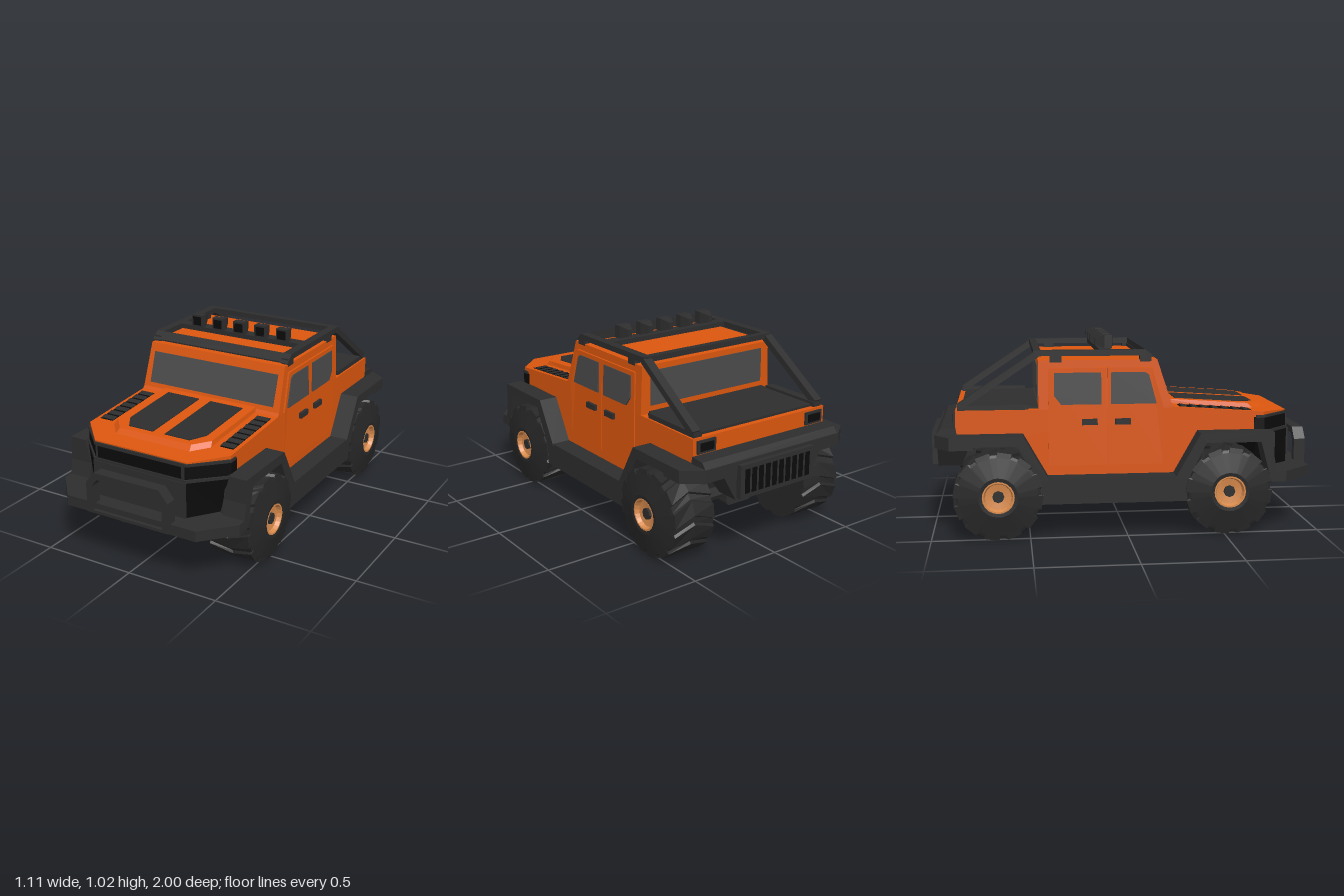
import * as THREE from 'three';

const mat = (color) => new THREE.MeshStandardMaterial({ color, flatShading: true });
const paint = mat(0xdb560e), dark = mat(0x2d2d2d), black = mat(0x0b0b0b);
const glass = mat(0x4a4a4a), copper = mat(0xd88a4c), rubber = mat(0x272727);

export function createModel() {
  const model = new THREE.Group();

  const add = (name, geo, material, parent = model) => {
    const mesh = new THREE.Mesh(geo, material);
    mesh.name = name;
    parent.add(mesh);
    return mesh;
  };
  const shapeOf = (pts) => new THREE.Shape(pts.map(([a, b]) => new THREE.Vector2(a, b)));
  const extrude = (shape, depth) => new THREE.ExtrudeGeometry(shape, { depth, bevelEnabled: false });
  // side outline in [z, y], running from x0 to x1
  const side = (pts, x0, x1) => extrude(shapeOf(pts), x1 - x0).rotateY(-Math.PI / 2).translate(x1, 0, 0);
  // plan outline in [x, z], running from y0 to y1
  const plan = (pts, y0, y1) =>
    extrude(shapeOf(pts.map(([x, z]) => [x, -z])), y1 - y0).rotateX(-Math.PI / 2).translate(0, y0, 0);
  const flip = (s, pts) => pts.map(([x, z]) => [x * s, z]);
  const sym = (half) => [...half, ...flip(-1, half).reverse()];
  const box = (x0, x1, y0, y1, z0, z1) =>
    new THREE.BoxGeometry(Math.abs(x1 - x0), y1 - y0, z1 - z0).translate((x0 + x1) / 2, (y0 + y1) / 2, (z0 + z1) / 2);
  const warp = (geo, rule) => {
    const p = geo.attributes.position, v = new THREE.Vector3();
    for (let i = 0; i < p.count; i++) {
      rule(v.fromBufferAttribute(p, i));
      p.setXYZ(i, v.x, v.y, v.z);
    }
    geo.computeVertexNormals();
    return geo;
  };
  // cab sides lean inwards above the waistline
  const lean = (geo) => warp(geo, (v) => { if (v.y > 0.65) v.x *= 1 - (v.y - 0.65) * 0.1; });
  const sideParts = (name, pts, x0, x1, material) => {
    for (const s of [1, -1])
      add(name, lean(s > 0 ? side(pts, x0, x1) : side(pts, -x1, -x0)), material);
  };
  const bar = (name, a, b, w, h) => {
    const A = new THREE.Vector3(...a), B = new THREE.Vector3(...b);
    const mesh = add(name, new THREE.BoxGeometry(w, h, A.distanceTo(B)), dark);
    mesh.position.copy(A).add(B).multiplyScalar(0.5);
    mesh.lookAt(B);
  };

  // Cab and cargo bed
  add('cabAndBed', lean(side([[0.255, 0.31], [0.385, 0.53], [0.25, 0.65], [0.235, 0.67], [0.16, 0.9], [-0.45, 0.9],
    [-0.45, 0.65], [-0.87, 0.65], [-0.87, 0.51], [-0.54, 0.51], [-0.43, 0.31]], -0.42, 0.42)), paint);
  const slope = (y) => 0.235 - (y - 0.67) * 0.326;
  add('windshield', side([[slope(0.695) - 0.01, 0.695], [slope(0.695) + 0.004, 0.695],
    [slope(0.855) + 0.004, 0.855], [slope(0.855) - 0.01, 0.855]], -0.38, 0.38), glass);
  add('rearWindow', box(-0.36, 0.36, 0.69, 0.87, -0.455, -0.44), glass);
  add('bedCover', box(-0.37, 0.37, 0.64, 0.662, -0.84, -0.45), dark);
  for (const s of [1, -1]) add('bedRail', box(s * 0.36, s * 0.41, 0.65, 0.675, -0.86, -0.5), dark);

  // Doors, side windows, handles
  sideParts('frontDoor', [[0.19, 0.36], [0.19, 0.66], [0.13, 0.86], [-0.098, 0.86], [-0.098, 0.36]], 0.4, 0.43, paint);
  sideParts('rearDoor', [[-0.102, 0.36], [-0.102, 0.86], [-0.4, 0.86], [-0.4, 0.36]], 0.4, 0.43, paint);
  sideParts('frontSideWindow', [[0.155, 0.675], [0.115, 0.825], [0.095, 0.837], [-0.08, 0.837], [-0.08, 0.675]], 0.4, 0.434, glass);
  sideParts('rearSideWindow', [[-0.13, 0.675], [-0.13, 0.837], [-0.37, 0.837], [-0.37, 0.72], [-0.335, 0.675]], 0.4, 0.434, glass);
  for (const z of [-0.02, -0.19])
    sideParts('doorHandle', [[z - 0.04, 0.57], [z + 0.04, 0.57], [z + 0.04, 0.6], [z - 0.04, 0.6]], 0.42, 0.442, dark);

  // Hood with raised centre, dark panels and flush louvres
  const hoodY = (z) => 0.655 - (z - 0.24) * 0.07;
  const bulgeY = (z) => 0.677 - (z - 0.24) * 0.068;
  add('hood', warp(plan(sym([[0.42, 0.22], [0.42, 0.72], [0.27, 0.875]]), 0.51, 0.62),
    (v) => { if (v.y > 0.6) v.y = hoodY(v.z); }), paint);
  add('hoodBulge', warp(plan(sym([[0.3, 0.22], [0.3, 0.72], [0.225, 0.8]]), 0.59, 0.7), (v) => {
    if (v.y < 0.65) return;
    v.x *= 0.94;
    if (v.z > 0.5) v.z -= 0.055;
    v.y = bulgeY(v.z);
  }), paint);
  for (const s of [1, -1]) {
    add('hoodPanel', warp(plan(flip(s, [[0.035, 0.28], [0.23, 0.28], [0.23, 0.63], [0.18, 0.71], [0.035, 0.71]]), 0.6, 0.7),
      (v) => { v.y = bulgeY(v.z) + (v.y > 0.65 ? 0.004 : -0.02); }), dark);
    add('louvreBed', warp(box(s * 0.322, s * 0.398, 0.6, 0.7, 0.28, 0.66),
      (v) => { v.y = hoodY(v.z) + (v.y > 0.65 ? 0.002 : -0.02); }), black);
    for (let i = 0; i < 7; i++) {
      const z = 0.305 + i * 0.055;
      const slat = add('louvreSlat', new THREE.BoxGeometry(0.076, 0.008, 0.034), dark);
      slat.position.set(s * 0.36, hoodY(z) + 0.001, z);
      slat.rotation.x = 0.2;
    }
  }

  // Nose: grille, angled lamps, recesses
  add('headlightBand', plan(sym([[0.425, 0.67], [0.425, 0.725], [0.265, 0.88]]), 0.52, 0.592), black);
  add('noseTrim', plan(sym([[0.428, 0.68], [0.428, 0.728], [0.268, 0.885]]), 0.59, 0.604), dark);
  add('noseLowerTrim', plan(sym([[0.43, 0.68], [0.43, 0.73], [0.27, 0.89]]), 0.508, 0.523), dark);
  add('grilleFrame', box(-0.26, 0.26, 0.52, 0.595, 0.8, 0.886), dark);
  add('grille', box(-0.245, 0.245, 0.528, 0.588, 0.8, 0.889), black);
  add('noseRecess', warp(plan(sym([[0.43, 0.68], [0.43, 0.73], [0.27, 0.885]]), 0.32, 0.51), (v) => {
    if (v.y < 0.4 && Math.abs(v.x) > 0.3) v.x *= 0.9;
  }), black);
  add('nosePanel', box(-0.27, 0.27, 0.3, 0.51, 0.75, 0.895), dark);

  // Front bumper with bull bar hoop and fender cheeks
  add('frontBumper', plan(sym([[0.525, 0.73], [0.525, 0.82], [0.38, 0.98]]), 0.27, 0.325), dark);
  for (const s of [1, -1])
    add('fenderCheek', extrude(shapeOf(flip(s, [[0.43, 0.53], [0.525, 0.53], [0.525, 0.32], [0.38, 0.32]])), 0.03)
      .translate(0, 0, 0.725), dark);
  const hoop = shapeOf(sym([[0.24, 0.28], [0.24, 0.44], [0.19, 0.5]]));
  hoop.holes.push(new THREE.Path(sym([[0.205, 0.295], [0.205, 0.425], [0.175, 0.465]]).map((p) => new THREE.Vector2(...p))));
  add('bullBar', extrude(hoop, 0.06).translate(0, 0, 0.94), dark);

  // Fenders and sills
  sideParts('frontFender', [[0.73, 0.53], [0.37, 0.53], [0.24, 0.3], [0.31, 0.3], [0.4, 0.48], [0.685, 0.48],
    [0.74, 0.28], [0.78, 0.28]], 0.4, 0.525, dark);
  sideParts('rearFender', [[-0.4, 0.3], [-0.53, 0.53], [-0.88, 0.53], [-0.88, 0.48], [-0.56, 0.48], [-0.47, 0.3]], 0.4, 0.525, dark);
  sideParts('sill', [[0.31, 0.31], [0.3, 0.18], [-0.45, 0.18], [-0.47, 0.31]], 0.36, 0.523, dark);

  // Rear bumper: high corners, lower slotted centre, tail lamps
  add('rearBumper', plan(sym([[0.525, -0.78], [0.525, -0.9], [0.43, -0.975]]), 0.465, 0.53), dark);
  add('rearBumperStep', side([[-0.86, 0.51], [-0.87, 0.565], [-0.945, 0.56], [-0.973, 0.525]], -0.425, 0.425), dark);
  add('rearBumperCentre', warp(box(-0.32, 0.32, 0.335, 0.48, -0.97, -0.79), (v) => {
    if (v.y > 0.4) return;
    v.x *= 0.75;
    v.z = Math.min(v.z, -0.85);
  }), dark);
  add('rearVentPanel', box(-0.235, 0.235, 0.345, 0.515, -1, -0.9), dark);
  for (let i = 0; i < 10; i++) {
    const x = -0.1935 + i * 0.043;
    add('rearVentSlot', box(x - 0.015, x + 0.015, 0.368, 0.492, -1.001, -0.99), black);
  }
  for (const s of [1, -1]) {
    add('tailLampFrame', box(s * 0.29, s * 0.4, 0.572, 0.637, -0.88, -0.86), dark);
    add('tailLamp', box(s * 0.305, s * 0.385, 0.584, 0.625, -0.884, -0.86), black);
  }

  // Roof rack running down to the bed
  for (const s of [1, -1]) {
    const x = s * 0.392;
    add('roofRail', side([[0.1, 0.95], [0.14, 0.91], [0.1, 0.92], [-0.46, 0.922], [-0.47, 0.95]], x - 0.023, x + 0.023), dark);
    bar('rearStrut', [x, 0.932, -0.455], [x, 0.668, -0.85], 0.046, 0.034);
    for (const z of [0.1, -0.36]) add('rackFoot', box(x - 0.02, x + 0.02, 0.89, 0.93, z - 0.03, z + 0.03), dark);
  }
  add('rackFrontBar', side([[0.1, 0.95], [0.14, 0.915], [0.1, 0.915]], -0.415, 0.415), dark);
  add('rackLowerBar', box(-0.38, 0.38, 0.902, 0.92, 0.095, 0.125), dark);
  add('rackRearBar', box(-0.4, 0.4, 0.922, 0.95, -0.472, -0.435), dark);
  add('lightBar', box(-0.4, 0.4, 0.925, 0.95, -0.135, -0.07), dark);
  for (let i = -2; i <= 2; i++) {
    const x = 0.007 + i * 0.132;
    add('roofLamp', box(x - 0.034, x + 0.034, 0.95, 1.017, -0.1, -0.06), dark);
    add('roofLampBack', warp(box(-0.033, 0.033, -0.033, 0.033, -0.15, -0.1), (v) => {
      if (v.z > -0.12) return;
      v.x *= 0.35;
      v.y *= 0.55;
    }).translate(x, 0.984, 0), dark);
    add('roofLampLens', box(x - 0.025, x + 0.025, 0.96, 1.008, -0.07, -0.058), black);
  }

  // Chassis beam, axles, differentials
  add('driveBeam', box(-0.07, 0.07, 0.2, 0.32, -0.6, 0.46), dark);
  for (const z of [0.52, -0.66]) {
    add('axle', new THREE.CylinderGeometry(0.032, 0.032, 0.62, 8).rotateZ(Math.PI / 2).translate(0, 0.228, z), dark);
    add('differential', extrude(shapeOf(sym([[0.083, 0.265], [0.083, 0.19], [0.07, 0.172]])), 0.12)
      .translate(0, 0, z - 0.06), dark);
  }

  // Wheels: tyre cross-section [x, radius, chevron twist, lug depth] swept round the axle
  const section = [[-0.12, 0, 0, 0], [-0.12, 0.19, 0, 0], [-0.12, 0.227, 0, 1], [0, 0.228, 0.18, 1], [0.115, 0.227, 0, 1],
    [0.12, 0.2, 0, 0], [0.141, 0.1, 0, 0], [0.139, 0.08, 0, 0], [0.08, 0.075, 0, 0], [0.08, 0, 0, 0]];
  const lug = [[0, 0], [0.6, 0], [0.68, 0.013], [0.95, 0.013]];
  const lugs = 12, steps = lugs * lug.length, pos = [], index = [];
  for (const [x, r, twist, depth] of section)
    for (let k = 0; k < steps; k++) {
      const [f, drop] = lug[k % lug.length];
      const a = ((Math.floor(k / lug.length) + f) / lugs) * Math.PI * 2 + twist;
      const R = r - drop * depth;
      pos.push(x, R * Math.cos(a), R * Math.sin(a));
    }
  for (let i = 0; i < section.length - 1; i++)
    for (let k = 0; k < steps; k++) {
      const n = (k + 1) % steps, a = i * steps + k, b = i * steps + n, c = a + steps, d = b + steps;
      index.push(a, b, c, b, d, c);
    }
  const tyre = new THREE.BufferGeometry();
  tyre.setAttribute('position', new THREE.Float32BufferAttribute(pos, 3));
  tyre.setIndex(index);
  tyre.computeVertexNormals();
  const rim = new THREE.LatheGeometry([[0.082, 0.1], [0.082, 0.14], [0.074, 0.14], [0.066, 0.118], [0.028, 0.112]]
    .map(([r, h]) => new THREE.Vector2(r, h)), 20).rotateZ(-Math.PI / 2);
  const rimMaterial = copper.clone();
  rimMaterial.side = THREE.DoubleSide;
  const hub = new THREE.CylinderGeometry(0.03, 0.03, 0.05, 8).rotateZ(Math.PI / 2).translate(0.1, 0, 0);
  for (const s of [1, -1])
    for (const z of [0.52, -0.66]) {
      const wheel = new THREE.Group();
      wheel.name = z > 0 ? 'frontWheel' : 'rearWheel';
      wheel.position.set(s * 0.415, 0.228, z);
      wheel.scale.x = s;
      add('tyre', tyre, rubber, wheel);
      add('rim', rim, rimMaterial, wheel);
      add('hub', hub, dark, wheel);
      model.add(wheel);
    }
  return model;
}
